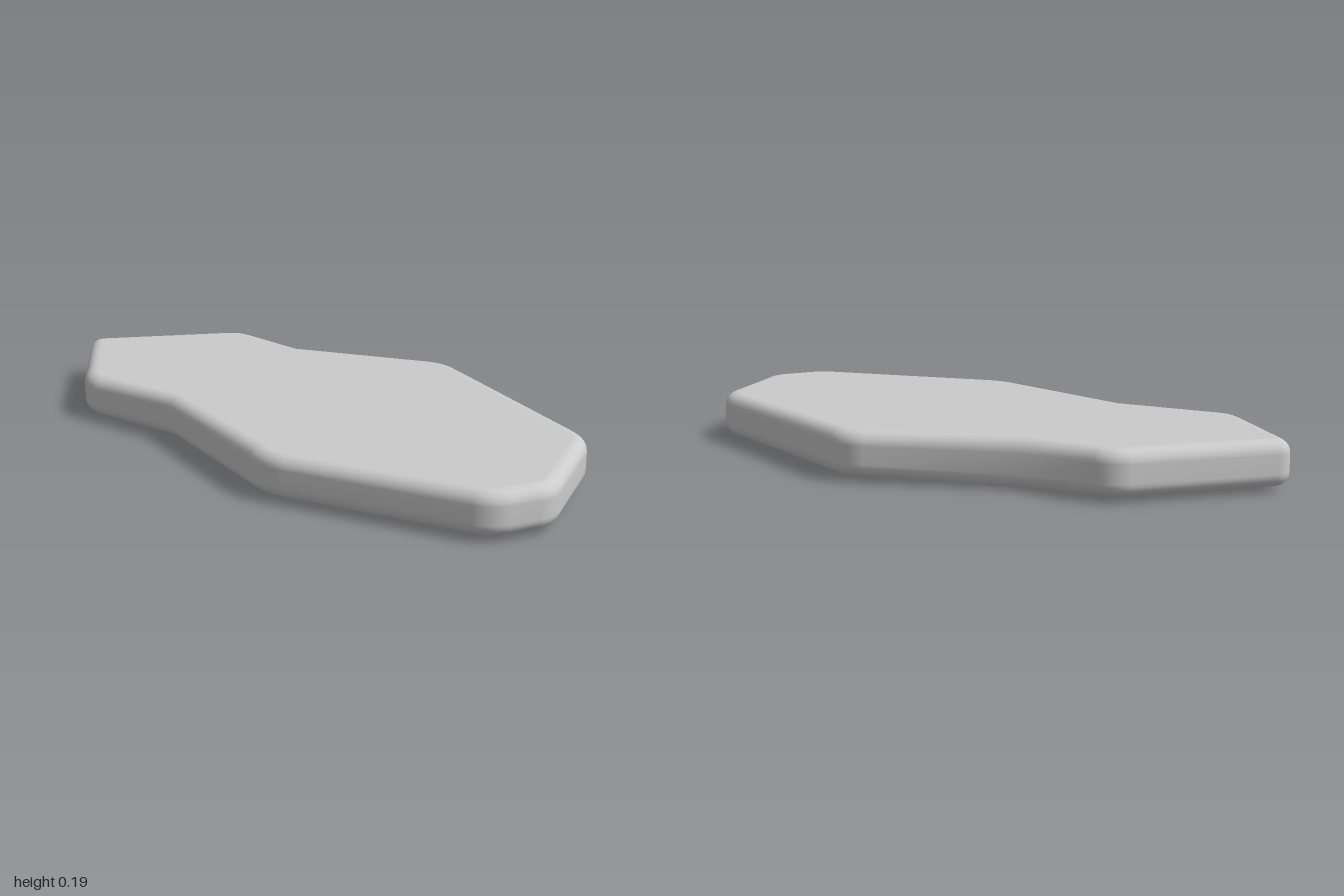
import * as THREE from 'three';

// Sharp outline corners [x, z]; third value is the length cut off each side to round the corner
const CORNERS = [
  [-0.815, -1.003, 0.06], [-0.877, -0.485, 0.07], [-0.565, -0.15, 0], [-0.315, 0.495, 0.08],
  [0.365, 1.005, 0.07], [0.6, 0.964, 0.06], [0.878, 0.56, 0.08], [0.61, -0.37, 0.08],
  [0.05, -0.68, 0], [-0.155, -0.968, 0.07],
];
const SAG_CORNER = 8; // the underside hangs slightly lower at this notch
const BOTTOM = 0.018, TOP = 0.185, SAG = 0.018, BEVEL = 0.05;
const CORNER_STEPS = 8, BEVEL_STEPS = 6;

// Outline points with outward normals, curved at the rounded corners
function outline() {
  const points = [];
  const n = CORNERS.length;
  CORNERS.forEach(([x, z, cut], i) => {
    const p = new THREE.Vector2(x, z);
    const toward = (k) => new THREE.Vector2(...CORNERS[k].slice(0, 2)).sub(p).normalize();
    const before = toward((i + n - 1) % n), after = toward((i + 1) % n);
    const start = p.clone().addScaledVector(before, cut);
    const end = p.clone().addScaledVector(after, cut);
    const curve = new THREE.QuadraticBezierCurve(start, p, end);
    const steps = cut ? CORNER_STEPS : 0;
    for (let s = 0; s <= steps; s++) {
      const t = steps ? s / steps : 0.5;
      const dir = before.clone().multiplyScalar(-(1 - t)).addScaledVector(after, t).normalize();
      points.push({
        pos: curve.getPoint(t),
        normal: new THREE.Vector2(-dir.y, dir.x),
        sag: i === SAG_CORNER ? SAG : 0,
      });
    }
  });
  return points;
}

// Edge section from underside to top: [inset, height]
function edgeProfile() {
  const profile = [];
  for (let i = 0; i <= BEVEL_STEPS; i++) {
    const a = (i / BEVEL_STEPS) * Math.PI / 2;
    profile.push([BEVEL * (1 - Math.sin(a)), BOTTOM + BEVEL * (1 - Math.cos(a))]);
  }
  return [...profile, ...profile.map(([d, y]) => [d, BOTTOM + TOP - y]).reverse()];
}

function slabGeometry() {
  const points = outline(), profile = edgeProfile();
  const n = points.length, positions = [], index = [];

  // Stacked rings form the rounded edge
  for (const [inset, y] of profile) {
    const low = (TOP - y) / (TOP - BOTTOM);
    for (const { pos, normal, sag } of points) {
      positions.push(pos.x - normal.x * inset, y - sag * low, pos.y - normal.y * inset);
    }
  }
  for (let r = 0; r < profile.length - 1; r++) {
    for (let j = 0; j < n; j++) {
      const a = r * n + j, b = r * n + (j + 1) % n;
      index.push(a, b, b + n, a, b + n, a + n);
    }
  }

  // Flat top and underside
  const last = (profile.length - 1) * n;
  const cap = points.map(({ pos, normal }) =>
    new THREE.Vector2(pos.x - normal.x * BEVEL, -(pos.y - normal.y * BEVEL)));
  for (const [a, b, c] of THREE.ShapeUtils.triangulateShape(cap, [])) {
    index.push(last + a, last + b, last + c, c, b, a);
  }

  const geometry = new THREE.BufferGeometry();
  geometry.setAttribute('position', new THREE.Float32BufferAttribute(positions, 3));
  geometry.setIndex(index);
  geometry.computeVertexNormals();
  return geometry;
}

export function createModel() {
  const group = new THREE.Group();
  group.name = 'steppingStone';
  const slab = new THREE.Mesh(slabGeometry(), new THREE.MeshStandardMaterial({ color: 0xcccccc }));
  slab.name = 'slab';
  group.add(slab);
  return group;
}
